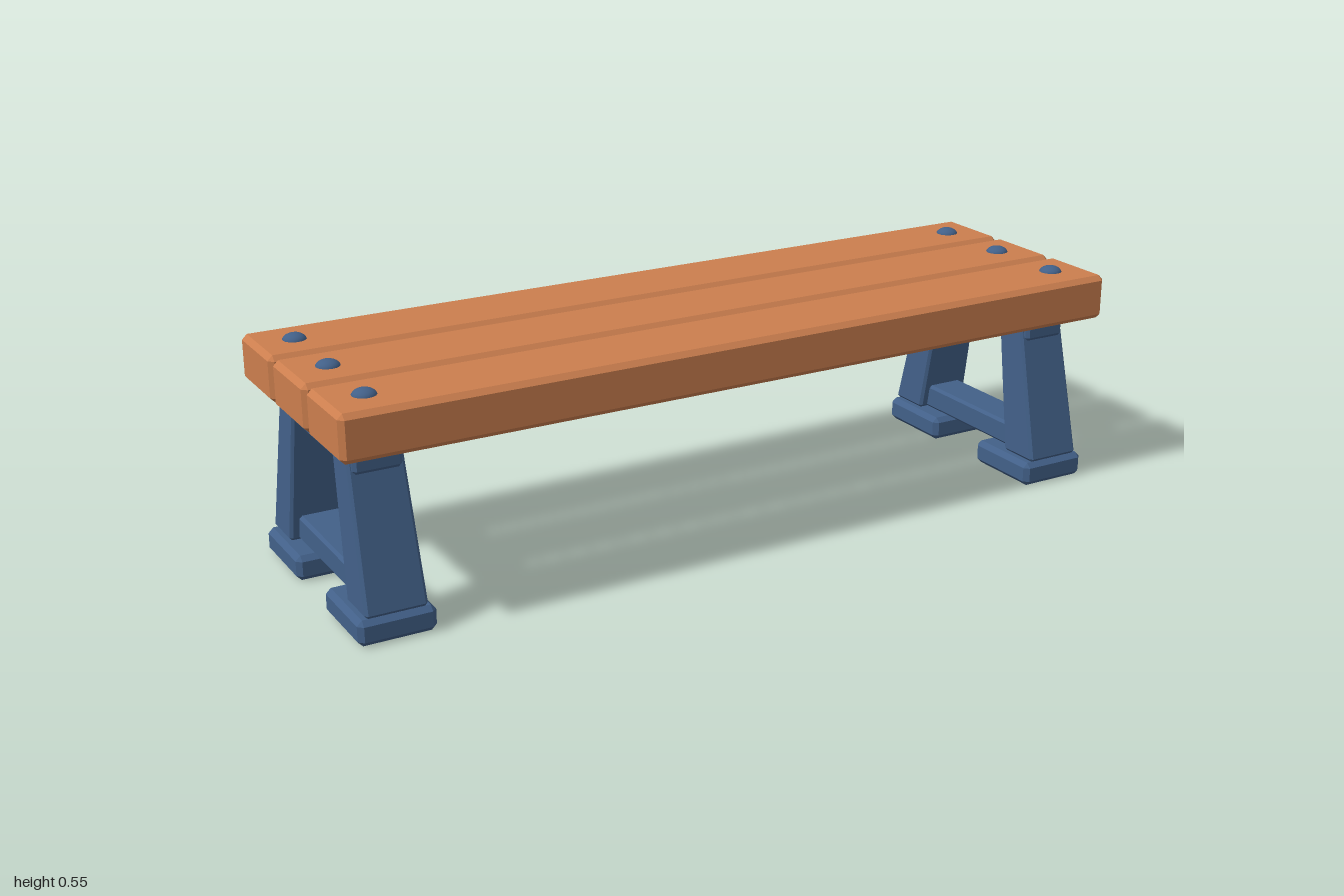
import * as THREE from 'three';
import { ConvexGeometry } from 'three/addons/geometries/ConvexGeometry.js';

const wood = new THREE.MeshStandardMaterial({ color: 0xcb7e4e });
wood.name = 'orange wood';
const metal = new THREE.MeshStandardMaterial({ color: 0x426088 });
metal.name = 'blue metal';

// Box with bevelled edges; an optional warp moves each corner point
function bevelBox(w, h, d, c, warp = (p) => p) {
  const pts = [];
  for (const sx of [-1, 1]) for (const sy of [-1, 1]) for (const sz of [-1, 1]) {
    for (let a = 0; a < 3; a++) {
      const x = w / 2 - (a === 0 ? 0 : c);
      const y = h / 2 - (a === 1 ? 0 : c);
      const z = d / 2 - (a === 2 ? 0 : c);
      pts.push(warp(new THREE.Vector3(sx * x, sy * y, sz * z)));
    }
  }
  return new ConvexGeometry(pts);
}

function add(parent, name, geometry, material, x, y, z) {
  const mesh = new THREE.Mesh(geometry, material);
  mesh.name = name;
  mesh.position.set(x, y, z);
  parent.add(mesh);
  return mesh;
}

// Splayed leg, tapering upward and leaning toward the middle
function legGeometry(side) {
  const h = 0.36;
  return bevelBox(0.144, h, 0.111, 0.007, (p) => {
    const t = p.y / h + 0.5;
    const centre = THREE.MathUtils.lerp(0.2355, 0.161, t);
    p.x *= THREE.MathUtils.lerp(1, 0.88, t);
    p.z = side * centre + p.z * THREE.MathUtils.lerp(1, 0.76, t);
    return p;
  });
}

export function createModel() {
  const bench = new THREE.Group();
  bench.name = 'bench';

  // Seat planks with domed bolts
  const plank = bevelBox(2, 0.11, 0.199, 0.012);
  const dome = new THREE.SphereGeometry(0.028, 16, 6, 0, Math.PI * 2, 0, Math.PI / 2);
  dome.scale(1, 0.62, 1);
  for (const z of [-0.2125, 0, 0.2125]) {
    add(bench, 'seatPlank', plank, wood, 0, 0.477, z);
    for (const x of [-0.907, 0.907]) add(bench, 'bolt', dome, metal, x, 0.529, z);
  }

  // Two end frames
  const foot = bevelBox(0.18, 0.06, 0.209, 0.012);
  const topRail = bevelBox(0.112, 0.059, 0.454, 0.008);
  const lowRail = bevelBox(0.1, 0.062, 0.42, 0.007);
  for (const x of [-0.89, 0.89]) {
    const frame = new THREE.Group();
    frame.name = x > 0 ? 'leftFrame' : 'rightFrame';
    frame.position.x = x;
    bench.add(frame);
    add(frame, 'topRail', topRail, metal, 0, 0.391, 0);
    add(frame, 'lowerRail', lowRail, metal, 0, 0.093, 0);
    for (const s of [-1, 1]) {
      add(frame, 'leg', legGeometry(s), metal, 0, 0.241, 0);
      add(frame, 'foot', foot, metal, 0, 0.03, s * 0.19);
    }
  }
  return bench;
}
